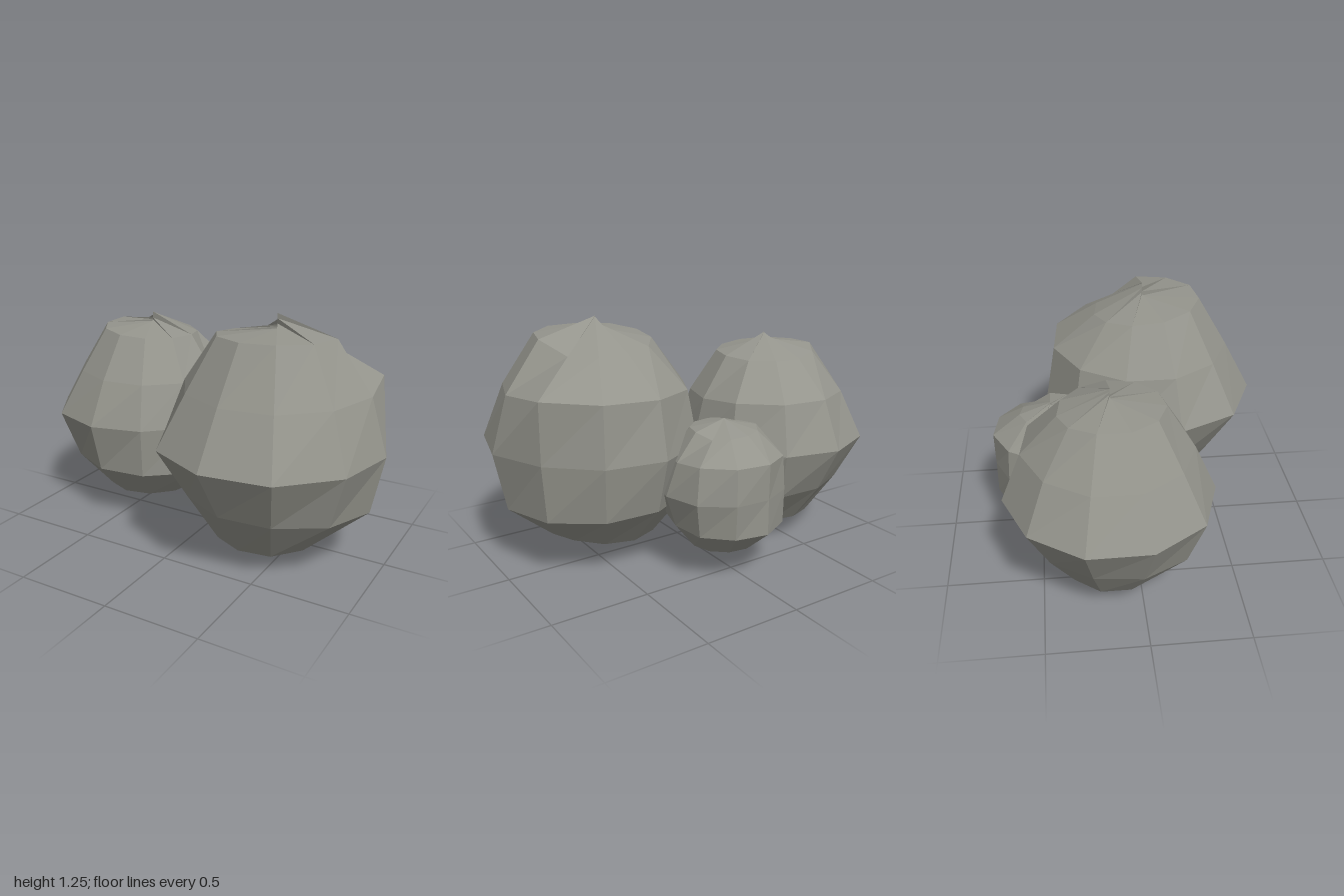
import * as THREE from 'three';

const SEGMENTS = 11;
const RINGS = 6;

// Each row is one latitude from top pole to bottom pole; the six numbers are
// distances from the rock's centre at every second segment, starting at +x.
const ROCKS = [
  {
    name: 'largeRock', centre: [0.42, 0.625, 0.11],
    rows: [
      [0.60, 0.55, 0.55, 0.57, 0.62, 0.625],
      [0.62, 0.63, 0.62, 0.58, 0.54, 0.54],
      [0.57, 0.55, 0.54, 0.53, 0.58, 0.62],
      [0.58, 0.62, 0.617, 0.517, 0.554, 0.54],
      [0.60, 0.55, 0.53, 0.53, 0.56, 0.59],
      [0.57, 0.60, 0.60, 0.59, 0.58, 0.56],
      [0.625, 0.58, 0.55, 0.55, 0.55, 0.60],
    ],
  },
  {
    name: 'mediumRock', centre: [-0.47, 0.575, -0.14],
    rows: [
      [0.51, 0.49, 0.49, 0.51, 0.54, 0.545],
      [0.51, 0.52, 0.54, 0.545, 0.50, 0.50],
      [0.46, 0.46, 0.475, 0.48, 0.50, 0.50],
      [0.46, 0.48, 0.546, 0.55, 0.536, 0.48],
      [0.54, 0.53, 0.52, 0.48, 0.48, 0.51],
      [0.52, 0.53, 0.54, 0.54, 0.52, 0.52],
      [0.545, 0.52, 0.50, 0.50, 0.50, 0.53],
    ],
  },
  {
    name: 'smallRock', centre: [0, 0.44, -0.42],
    rows: [
      [0.33, 0.32, 0.32, 0.33, 0.34, 0.34],
      [0.34, 0.34, 0.34, 0.34, 0.33, 0.31],
      [0.32, 0.33, 0.33, 0.33, 0.36, 0.36],
      [0.34, 0.33, 0.31, 0.31, 0.31, 0.34],
      [0.33, 0.33, 0.33, 0.35, 0.36, 0.35],
      [0.35, 0.35, 0.35, 0.36, 0.35, 0.35],
      [0.35, 0.34, 0.33, 0.33, 0.34, 0.35],
    ],
  },
];

// Vertex on a dented sphere; odd segments lie halfway between table entries
function rockPoint(rows, ring, segment) {
  const i = segment % SEGMENTS;
  const row = rows[ring];
  const distance = (row[Math.floor(i / 2)] + row[Math.ceil(i / 2) % 6]) / 2;
  const polar = (ring / RINGS) * Math.PI;
  const around = (i / SEGMENTS) * Math.PI * 2;
  return [
    distance * Math.sin(polar) * Math.cos(around),
    distance * Math.cos(polar),
    distance * Math.sin(polar) * Math.sin(around),
  ];
}

// Unshared vertices keep every facet flat
function rockGeometry(rows) {
  const positions = [];
  for (let ring = 0; ring < RINGS; ring++) {
    for (let s = 0; s < SEGMENTS; s++) {
      const a = rockPoint(rows, ring, s);
      const b = rockPoint(rows, ring, s + 1);
      const c = rockPoint(rows, ring + 1, s + 1);
      const d = rockPoint(rows, ring + 1, s);
      positions.push(...a, ...b, ...c, ...a, ...c, ...d);
    }
  }
  const geometry = new THREE.BufferGeometry();
  geometry.setAttribute('position', new THREE.Float32BufferAttribute(positions, 3));
  geometry.computeVertexNormals();
  return geometry;
}

export function createModel() {
  const group = new THREE.Group();
  group.name = 'rockCluster';
  const stone = new THREE.MeshStandardMaterial({ color: 0x94948c });
  stone.name = 'greyStone';
  stone.flatShading = true;

  for (const { name, centre, rows } of ROCKS) {
    const rock = new THREE.Mesh(rockGeometry(rows), stone);
    rock.name = name;
    rock.position.set(...centre);
    group.add(rock);
  }
  return group;
}
